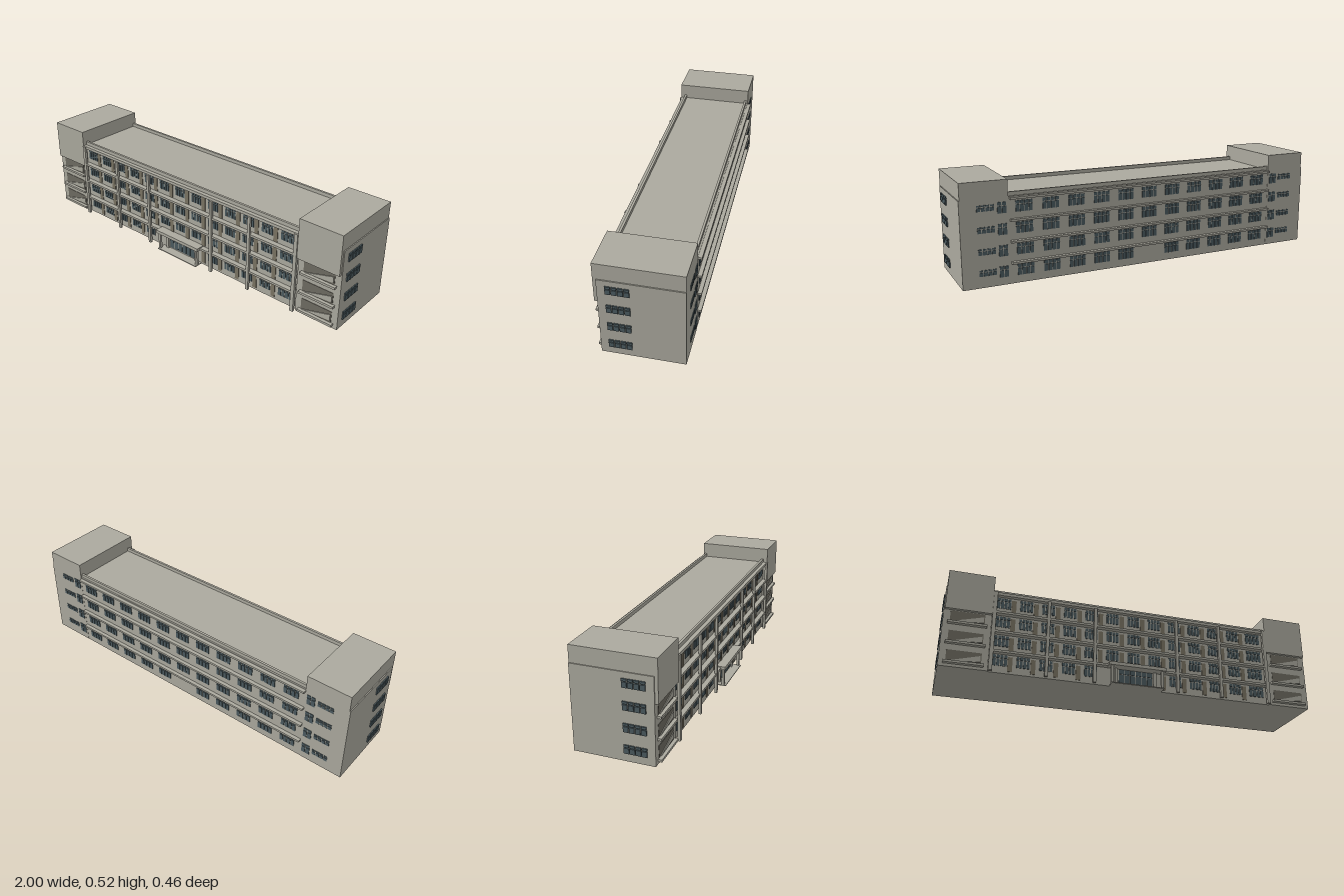
import * as THREE from 'three';
import { mergeGeometries } from 'three/addons/utils/BufferGeometryUtils.js';

const mat = (name, color) => {
  const m = new THREE.MeshStandardMaterial({ color });
  m.name = name;
  return m;
};

// Box given by its min and max along each axis
function box(x0, x1, y0, y1, z0, z1) {
  const g = new THREE.BoxGeometry(x1 - x0, y1 - y0, z1 - z0);
  return g.translate((x0 + x1) / 2, (y0 + y1) / 2, (z0 + z1) / 2);
}

// Panes of a window in (u, y): a row of short lights above a row of tall ones
function panes(u0, u1, y0, y1, cols, place) {
  const gap = 0.004, w = (u1 - u0 + gap) / cols, split = y0 + (y1 - y0) * 0.68;
  const out = [];
  for (let i = 0; i < cols; i++) {
    const a = u0 + i * w, b = a + w - gap;
    out.push(place(a, b, y0, split - 0.002), place(a, b, split + 0.002, y1));
  }
  return out;
}

export function createModel() {
  const model = new THREE.Group();
  model.name = 'building';
  const wall = mat('wall', 0xaba99e);
  const glass = mat('glass', 0x4b5a5f);
  const door = mat('door', 0x7a7363);
  const recess = mat('recess', 0x6e6b61);
  const add = (name, material, parts) => {
    const m = new THREE.Mesh(mergeGeometries(parts), material);
    m.name = name;
    model.add(m);
  };
  const floors = [0, 0.105, 0.212, 0.318];
  const sides = [-1, 1];
  const mirrored = (s, x0, x1, ...rest) => s > 0 ? box(x0, x1, ...rest) : box(-x1, -x0, ...rest);

  // Main block with a parapet around the sunken roof
  add('mainBlock', wall, [box(-0.757, 0.757, 0, 0.437, -0.211, 0.182)]);
  add('roofParapet', wall, [
    box(-0.757, 0.757, 0.437, 0.456, 0.17, 0.182),
    box(-0.757, 0.757, 0.437, 0.456, -0.203, -0.191),
  ]);

  // End towers with a projecting upper front
  const towers = [], fronts = [], sills = [], loggias = [], flights = [];
  for (const s of sides) {
    towers.push(mirrored(s, 0.757, 0.994, 0, 0.435, -0.212, 0.19));
    towers.push(mirrored(s, 0.757, 0.989, 0.435, 0.52, -0.212, 0.19));
    fronts.push(mirrored(s, 0.757, 0.989, 0.306, 0.52, 0.19, 0.206));
    for (const y of [0.015, 0.12, 0.228]) {
      sills.push(mirrored(s, 0.778, 0.972, y, y + 0.012, 0.19, 0.21));
      loggias.push(mirrored(s, 0.79, 0.96, y + 0.012, y + 0.073, 0.19, 0.192));
      // Rising stair flight seen in the opening
      const shape = new THREE.Shape();
      shape.moveTo(0, 0);
      shape.lineTo(0.16, 0.012);
      shape.lineTo(0.16, 0.045);
      shape.closePath();
      const g = new THREE.ExtrudeGeometry(shape, { depth: 0.004, bevelEnabled: false });
      flights.push(g.translate(s > 0 ? 0.795 : -0.955, y + 0.012, 0.192));
    }
  }
  add('towers', wall, towers);
  add('towerFronts', wall, fronts);
  add('balconySills', wall, sills);
  add('loggias', recess, loggias);
  add('stairFlights', wall, flights);

  // Floor ledges, front and back
  const ledges = [box(-0.757, 0.757, 0.42, 0.436, 0.182, 0.203)];
  for (const y of [0.101, 0.208, 0.315]) ledges.push(box(-0.757, 0.757, y, y + 0.012, 0.182, 0.209));
  for (const y of [0.101, 0.208, 0.315, 0.423]) ledges.push(box(-0.757, 0.752, y, y + 0.011, -0.231, -0.211));
  add('floorLedges', wall, ledges);

  // Free-standing front pilasters tied to the ledges
  const pilasters = [];
  for (const s of sides) {
    for (const x of [0.225, 0.472]) pilasters.push(mirrored(s, x - 0.008, x + 0.008, 0, 0.422, 0.2, 0.213));
    pilasters.push(mirrored(s, 0.738, 0.757, 0, 0.435, 0.198, 0.212));
  }
  add('pilasters', wall, pilasters);

  // Front windows and doors, one of each per bay
  const frontGlass = [], doors = [];
  const frontPane = (a, b, c, d) => box(a, b, c, d, 0.182, 0.185);
  const backPane = (a, b, c, d) => box(a, b, c, d, -0.215, -0.211);
  floors.forEach((f, k) => {
    const y0 = f + 0.038, y1 = f + 0.096;
    frontGlass.push(...panes(-0.735, -0.665, y0, y1, 4, frontPane));
    for (let i = 0; i < 12; i++) {
      const x = -0.65 + i * 0.115;
      const entrance = k === 0 && x > -0.2 && x < 0.12;
      if (!entrance) {
        doors.push(box(x - 0.012, x + 0.012, f + 0.012, f + 0.09, 0.182, 0.185));
        const end = i === 11 ? 0.115 : 0.097;
        frontGlass.push(...panes(x + 0.032, x + end, y0, y1, 4, frontPane));
      }
    }
  });
  add('frontWindows', glass, frontGlass);
  add('frontDoors', door, doors);

  // Back windows, with a blank bay in the middle of the ground floor
  const backGlass = [];
  floors.forEach((f, k) => {
    for (let i = -5; i <= 5; i++) {
      if (k === 0 && i === 0) continue;
      const x = i * 0.136;
      backGlass.push(...panes(x - 0.042, x + 0.042, f + 0.04, f + 0.095, 4, backPane));
    }
    for (const s of sides) {
      const a = s * 0.87, b = s * 0.79;
      backGlass.push(...panes(a - 0.042, a + 0.042, f + 0.058, f + 0.088, 4, backPane));
      backGlass.push(...panes(b - 0.022, b + 0.022, f + 0.04, f + 0.095, 2, backPane));
    }
  });
  add('backWindows', glass, backGlass);

  // Tower side windows
  const sideGlass = [];
  for (const s of sides) {
    for (const y of [0.041, 0.148, 0.255, 0.363]) {
      sideGlass.push(...panes(0.04, 0.151, y, y + 0.043, 4,
        (a, b, c, d) => mirrored(s, 0.994, 1, c, d, a, b)));
    }
  }
  add('sideWindows', glass, sideGlass);

  // Entrance with canopy, posts, step and glazed doors
  add('entranceCanopy', wall, [box(-0.153, 0.153, 0.1, 0.118, 0.182, 0.232)]);
  add('entranceStep', wall, [box(-0.14, 0.14, 0, 0.005, 0.182, 0.232)]);
  add('entrancePosts', wall, sides.flatMap(s => [
    mirrored(s, 0.128, 0.142, 0.005, 0.1, 0.21, 0.223),
    mirrored(s, 0.096, 0.112, 0.005, 0.1, 0.182, 0.192),
  ]));
  add('entranceDoors', glass, panes(-0.09, 0.09, 0.012, 0.098, 6, frontPane));
  return model;
}
